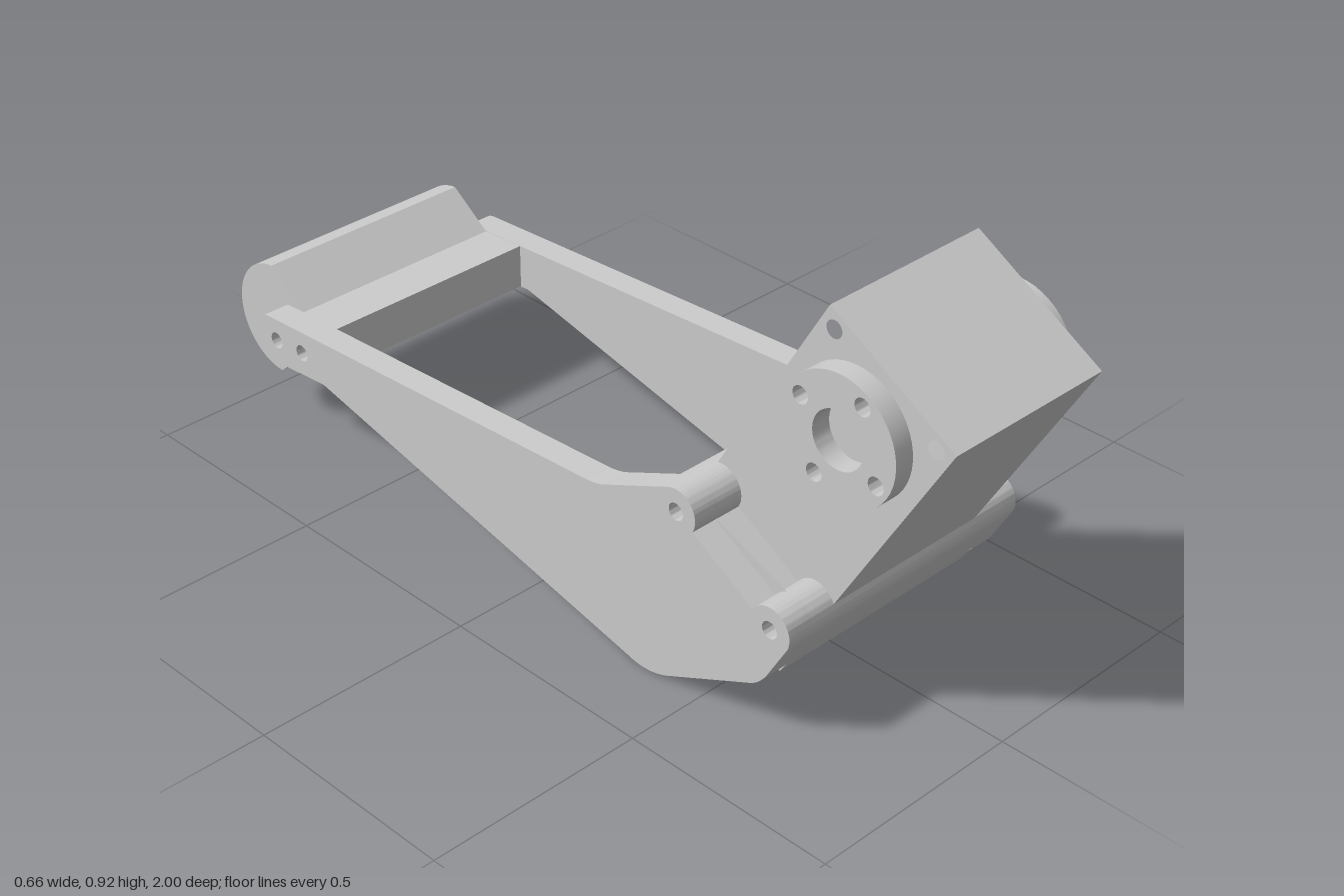
import * as THREE from 'three';
import { toCreasedNormals } from 'three/addons/utils/BufferGeometryUtils.js';

const DEG = Math.PI / 180;
const LOWER = [0.69, 0.27], UPPER = [0.442, 0.415]; // pivot centres as (z, y)
const LOBE = 0.051, PIN = 0.019;
const IN = 0.267, OUT = 0.329; // inner and outer face of the side plates

export function createModel() {
  const model = new THREE.Group();
  const material = new THREE.MeshStandardMaterial({ color: 0xcccccc });

  // Cut round holes into a (z, y) profile
  const drill = (shape, centres, radius = PIN) => {
    for (const [z, y] of centres) {
      const hole = new THREE.Path();
      hole.absarc(z, y, radius, 0, Math.PI * 2, true);
      shape.holes.push(hole);
    }
    return shape;
  };

  // Extrude a (z, y) profile sideways from x0 to x1
  const part = (name, shape, x0, x1) => {
    let geometry = new THREE.ExtrudeGeometry(shape, {
      depth: x1 - x0, bevelEnabled: false, curveSegments: 24,
    });
    geometry.rotateY(-Math.PI / 2);
    geometry.translate(x1, 0, 0);
    geometry = toCreasedNormals(geometry, 0.5);
    const mesh = new THREE.Mesh(geometry, material);
    mesh.name = name;
    model.add(mesh);
  };

  // Two pivot lobes with the flat seat between them
  const lobes = (shape) => {
    shape.absarc(...LOWER, LOBE, -25 * DEG, 150 * DEG, false);
    shape.absarc(...UPPER, LOBE, -30 * DEG, 114 * DEG, false);
  };

  const endHoles = [[-0.705, 0.27], [-0.793, 0.265]];

  // Side plates
  const plate = new THREE.Shape();
  plate.moveTo(0.42, 0.015);
  plate.lineTo(0.645, 0.122);
  plate.quadraticCurveTo(0.67, 0.135, 0.688, 0.165);
  lobes(plate);
  plate.lineTo(0.25, 0.385);
  plate.quadraticCurveTo(0.225, 0.373, 0.19, 0.371);
  plate.lineTo(-0.815, 0.317);
  plate.quadraticCurveTo(-0.85, 0.315, -0.845, 0.285);
  plate.lineTo(-0.828, 0.225);
  plate.quadraticCurveTo(-0.822, 0.207, -0.795, 0.208);
  plate.lineTo(-0.635, 0.221);
  plate.lineTo(0.31, 0.007);
  plate.quadraticCurveTo(0.365, -0.009, 0.42, 0.015);
  drill(plate, [LOWER, UPPER, ...endHoles]);
  part('leftSidePlate', plate, IN, OUT);
  part('rightSidePlate', plate, -OUT, -IN);

  // Front cross member carrying the block
  const cross = new THREE.Shape();
  cross.moveTo(0.663, 0.127);
  cross.lineTo(0.688, 0.165);
  lobes(cross);
  cross.lineTo(0.39, 0.447);
  cross.lineTo(0.345, 0.368);
  cross.closePath();
  part('frontCrossMember', drill(cross, [LOWER, UPPER]), -IN, IN);

  // Rear cross bar merging into the rounded end
  const end = new THREE.Shape();
  end.moveTo(-0.658, 0.325);
  end.lineTo(-0.775, 0.318);
  end.absarc(-0.868, 0.262, 0.132, 95 * DEG, 270 * DEG, false);
  end.lineTo(-0.772, 0.209);
  end.lineTo(-0.658, 0.22);
  end.closePath();
  part('rearRoundedBar', drill(end, endHoles), -IN, IN);

  // Tilted block: s runs from lower to upper pivot, t away from the seat
  const tilted = ([s, t]) => new THREE.Vector2(
    LOWER[0] - 0.863 * s + 0.505 * t, LOWER[1] + 0.505 * s + 0.863 * t);
  const block = new THREE.Shape([
    [-0.03, 0.024], [0.03, 0.024], [0.03, -0.01], [0.257, -0.01],
    [0.257, 0.024], [0.323, 0.024], [0.323, 0.567], [-0.03, 0.567],
  ].map(tilted));
  part('tiltedBlock', drill(block, [[0.957, 0.736], [0.71, 0.877]]), -0.204, 0.204);

  // Round bosses with a centre bore and four screw holes
  const hub = [0.768, 0.69];
  const boss = new THREE.Shape();
  boss.absarc(...hub, 0.138, 0, Math.PI * 2, false);
  drill(boss, [hub], 0.062);
  drill(boss, [0, 1, 2, 3].map((i) => {
    const a = (60 + i * 90) * DEG;
    return [hub[0] + 0.108 * Math.cos(a), hub[1] + 0.108 * Math.sin(a)];
  }));
  part('leftBoss', boss, 0.204, 0.249);
  part('rightBoss', boss, -0.249, -0.204);

  return model;
}
